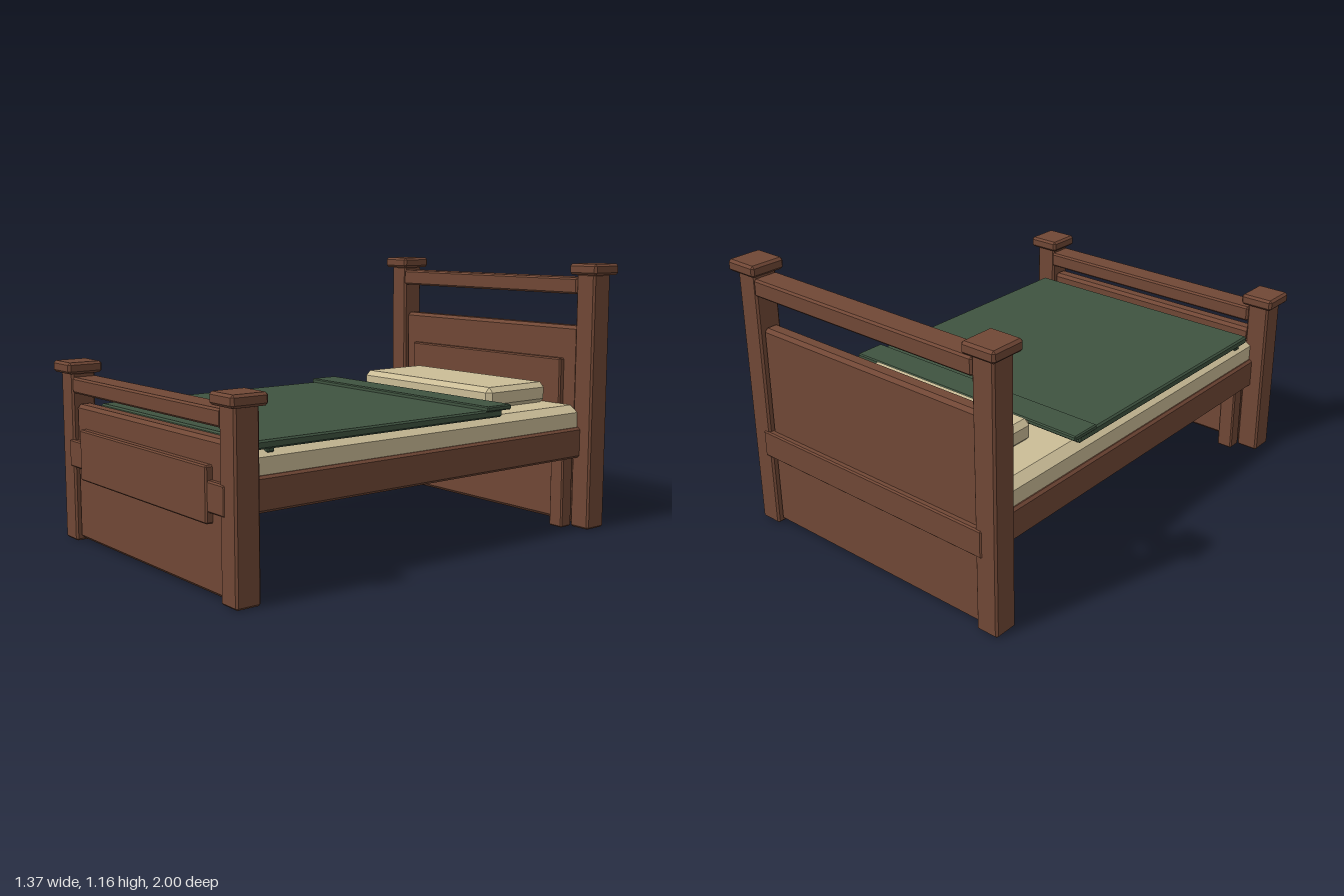
import * as THREE from 'three';
import { ConvexGeometry } from 'three/addons/geometries/ConvexGeometry.js';

const mat = (name, color) => {
  const m = new THREE.MeshStandardMaterial({ color });
  m.name = name;
  return m;
};

// Box with chamfered edges, given by its min/max on each axis
function chamferBox(x, y, z, c) {
  const pts = [];
  for (const i of [0, 1]) for (const j of [0, 1]) for (const k of [0, 1]) {
    const p = [x[i], y[j], z[k]];
    const s = [1 - 2 * i, 1 - 2 * j, 1 - 2 * k]; // towards the inside
    for (let a = 0; a < 3; a++) { // corner point lying on the face of axis a
      pts.push(new THREE.Vector3(...p.map((v, n) => (n === a ? v : v + s[n] * c))));
    }
  }
  return new ConvexGeometry(pts);
}

export function createModel() {
  const wood = mat('brown wood', 0x704735);
  const linen = mat('cream linen', 0xcbbd97);
  const green = mat('green blanket', 0x3f5340);
  const bed = new THREE.Group();
  bed.name = 'bed';

  const add = (name, x, y, z, m = wood, c = 0.008, parent = bed) => {
    const mesh = new THREE.Mesh(chamferBox(x, y, z, c), m);
    mesh.name = name;
    parent.add(mesh);
    return mesh;
  };

  // Posts, caps and inner legs; s = +1 is the foot end, -1 the head end
  function addEnd(name, s, postTop) {
    const end = new THREE.Group();
    end.name = name;
    bed.add(end);
    const zr = (a, b) => (s > 0 ? [a, b] : [-b, -a]);
    const part = (n, x, y, z, c) => add(n, x, y, zr(...z), wood, c, end);
    for (const side of [1, -1]) {
      const xr = (a, b) => (side > 0 ? [a, b] : [-b, -a]);
      part('post', xr(0.56, 0.66), [0, postTop + 0.005], [0.868, 0.974]);
      part('postCap', xr(0.535, 0.685), [postTop, postTop + 0.048], [0.845, 1.0], 0.01);
      part('innerLeg', xr(0.487, 0.56), [0, 0.33], [0.81, 0.875], 0.006);
    }
    return part;
  }

  // Footboard
  const foot = addEnd('footboard', 1, 0.715);
  foot('topRail', [-0.565, 0.565], [0.633, 0.7], [0.86, 0.972]);
  foot('panel', [-0.565, 0.565], [0.012, 0.586], [0.885, 0.955], 0.014);
  foot('middleRail', [-0.594, 0.594], [0.32, 0.436], [0.9, 0.978], 0.006);
  foot('raisedBoard', [-0.486, 0.486], [0.277, 0.49], [0.93, 0.984], 0.006);

  // Headboard
  const head = addEnd('headboard', -1, 1.115);
  head('topRail', [-0.565, 0.565], [1.03, 1.102], [0.865, 0.978]);
  head('panel', [-0.565, 0.565], [0.012, 0.89], [0.885, 0.955], 0.014);
  head('raisedBoard', [-0.486, 0.486], [0.5, 0.745], [0.86, 0.92], 0.006);
  head('middleRail', [-0.594, 0.594], [0.32, 0.436], [0.9, 0.979], 0.006);

  // Bed base with side rails
  add('bedFrame', [-0.602, 0.602], [0.315, 0.45], [-0.88, 0.88], wood, 0.01);

  // Mattress: chamfered along its long top edges
  const half = [[0.587, 0.44], [0.587, 0.515], [0.547, 0.544]];
  const outline = [...half, ...half.map(([x, y]) => [-x, y]).reverse()];
  const shape = new THREE.Shape(outline.map(([x, y]) => new THREE.Vector2(x, y)));
  const mattressGeo = new THREE.ExtrudeGeometry(shape, { depth: 1.735, bevelEnabled: false });
  mattressGeo.translate(0, 0, -0.865);
  const mattress = new THREE.Mesh(mattressGeo, linen);
  mattress.name = 'mattress';
  bed.add(mattress);

  // Bedding
  add('pillow', [-0.425, 0.42], [0.54, 0.635], [-0.85, -0.487], linen, 0.022);
  add('blanket', [-0.586, 0.586], [0.541, 0.575], [-0.4, 0.832], green, 0.007);
  add('blanketFold', [-0.596, 0.596], [0.57, 0.592], [-0.442, -0.305], green, 0.005);
  add('blanketTuck', [-0.58, 0.58], [0.527, 0.548], [0.75, 0.782], green, 0.005);

  return bed;
}
